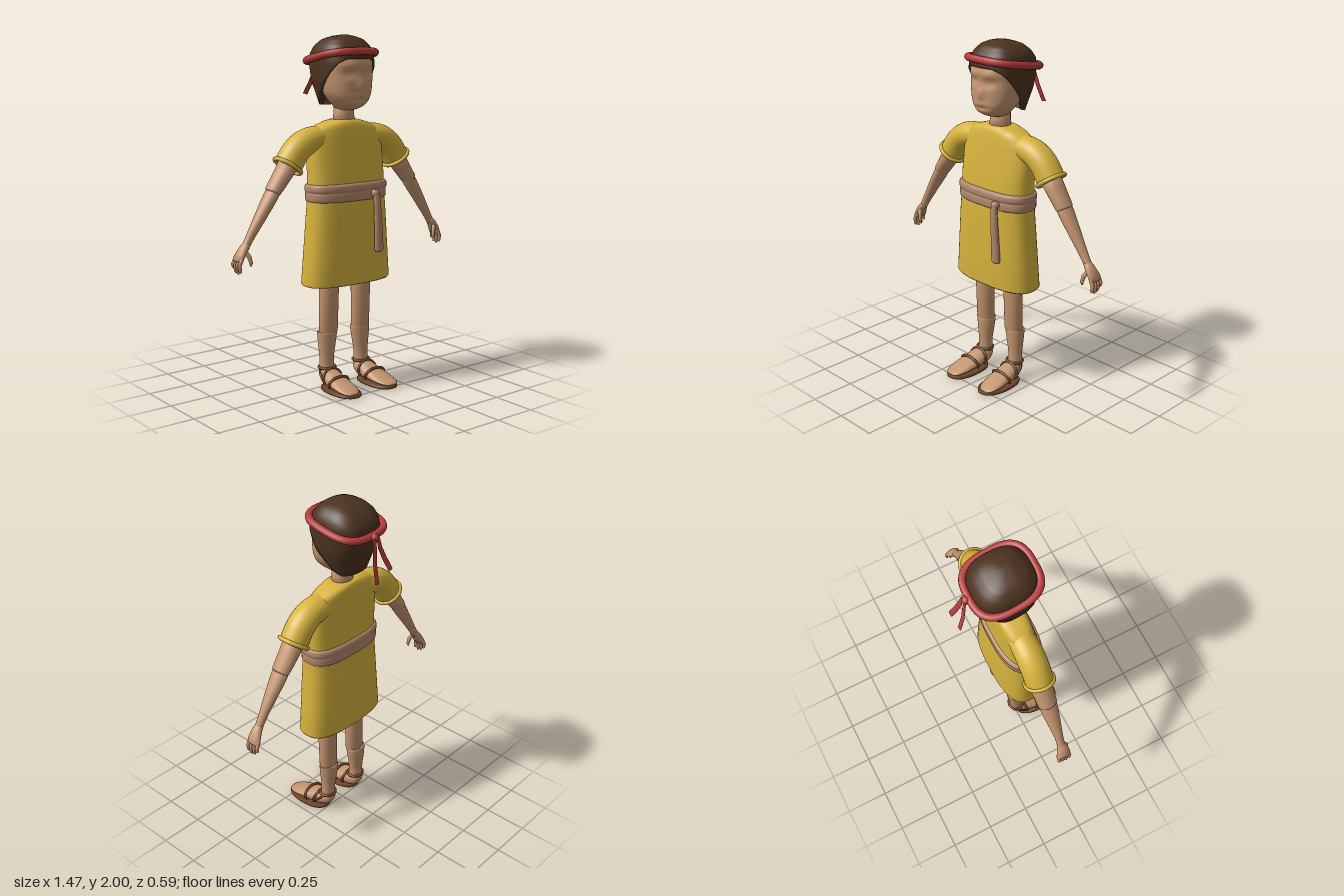
import * as THREE from 'three';

const mat = (name, color) => new THREE.MeshStandardMaterial({ name, color, side: THREE.DoubleSide });
const V = (x, y, z) => new THREE.Vector3(x, y, z);
const TAU = Math.PI * 2;

// Catmull-Rom refinement of a table of numeric rows
function refine(rows, n) {
  const out = [];
  const at = i => rows[Math.min(rows.length - 1, Math.max(0, i))];
  for (let i = 0; i < rows.length - 1; i++) {
    for (let k = 0; k < n; k++) {
      const t = k / n, a = at(i - 1), b = at(i), c = at(i + 1), d = at(i + 2);
      out.push(b.map((_, j) => 0.5 * (2 * b[j] + (c[j] - a[j]) * t
        + (2 * a[j] - 5 * b[j] + 4 * c[j] - d[j]) * t * t
        + (3 * b[j] - a[j] - 3 * c[j] + d[j]) * t * t * t)));
    }
  }
  out.push(rows[rows.length - 1]);
  return out;
}

// Linear lookup in a table sorted by descending first column
function sample(rows, y) {
  for (let i = 0; i < rows.length - 1; i++) {
    const a = rows[i], b = rows[i + 1];
    if (y >= b[0]) return a.map((v, j) => v + (b[j] - v) * (a[0] - y) / (a[0] - b[0]));
  }
  return rows[rows.length - 1];
}

// Horizontal superellipse ring
function ring(cx, y, rx, zf, zb, exp = 2, n = 40) {
  const p = v => Math.sign(v) * Math.pow(Math.abs(v), 2 / exp);
  return Array.from({ length: n }, (_, i) => {
    const a = i / n * TAU;
    return V(cx + rx * p(Math.cos(a)), y, (zf + zb) / 2 + (zf - zb) / 2 * p(Math.sin(a)));
  });
}

// Skin a list of rings, turned so that faces point outward
function loft(rings, capStart = true, capEnd = true) {
  const n = rings[0].length, pts = rings.flat(), idx = [];
  for (let r = 0; r < rings.length - 1; r++) {
    for (let i = 0; i < n; i++) {
      const a = r * n + i, b = r * n + (i + 1) % n, c = a + n, d = b + n;
      idx.push(a, c, b, b, c, d);
    }
  }
  const cap = (r, flip) => {
    const centre = rings[r].reduce((s, p) => s.add(p), V(0, 0, 0)).divideScalar(n);
    const k = pts.push(centre) - 1;
    for (let i = 0; i < n; i++) {
      const a = r * n + i, b = r * n + (i + 1) % n;
      idx.push(k, flip ? b : a, flip ? a : b);
    }
  };
  if (capStart) cap(0, false);
  if (capEnd) cap(rings.length - 1, true);
  let volume = 0;
  for (let i = 0; i < idx.length; i += 3) {
    volume += pts[idx[i]].dot(pts[idx[i + 1]].clone().cross(pts[idx[i + 2]]));
  }
  if (volume < 0) idx.reverse();
  const g = new THREE.BufferGeometry().setFromPoints(pts);
  g.setIndex(idx);
  g.computeVertexNormals();
  return g;
}

// Rows of [y, rx, zFront, zBack] stacked around x = cx
const stack = (rows, exp, cx = 0, bottom = true) =>
  loft(rows.map(r => ring(cx, r[0], r[1], r[2], r[3], exp)), bottom);

// Limb through rows of [x, y, z, radius in xy, radius in z], mirrored by s
function limb(rows, s = 1, n = 20) {
  return loft(rows.map((r, i) => {
    const a = rows[Math.max(0, i - 1)], b = rows[Math.min(rows.length - 1, i + 1)];
    const t = new THREE.Vector2(b[0] - a[0], b[1] - a[1]).normalize();
    return Array.from({ length: n }, (_, k) => {
      const q = k / n * TAU, c = Math.cos(q) * r[3];
      return V(s * (r[0] - t.y * c), r[1] + t.x * c, r[2] + Math.sin(q) * r[4]);
    });
  }));
}

const cord = (pts, r, closed = true) =>
  new THREE.TubeGeometry(new THREE.CatmullRomCurve3(pts, closed), 64, r, 10, closed);

export function createModel() {
  const model = new THREE.Group();
  const skin = mat('skin', 0xc4956f), cloth = mat('yellow cloth', 0xd6b23c);
  const sash = mat('sash tan', 0xb0876b), hairMat = mat('hair brown', 0x4c321f);
  const red = mat('red cloth', 0xb83c3c), leather = mat('leather', 0x6e4529);
  const add = (name, geometry, material) => {
    const m = new THREE.Mesh(geometry, material);
    m.name = name;
    model.add(m);
    return m;
  };

  // Head with a modelled face, and neck
  const headRows = refine([[1.588, 0.04, 0.07, -0.02], [1.6, 0.066, 0.105, -0.04], [1.62, 0.088, 0.137, -0.05],
    [1.65, 0.115, 0.15, -0.07], [1.7, 0.14, 0.152, -0.1], [1.8, 0.154, 0.154, -0.15],
    [1.88, 0.15, 0.146, -0.165], [1.94, 0.1, 0.09, -0.11]], 6);
  const bump = (p, x, y, wx, wy) => Math.exp(-(((Math.abs(p.x) - x) / wx) ** 2) - ((p.y - y) / wy) ** 2);
  const headRings = headRows.map(r => ring(0, r[0], r[1], r[2], r[3], 2.3, 64));
  headRings.flat().forEach(p => {
    if (p.z < 0.04) return;
    p.z += 0.018 * bump(p, 0, 1.725, 0.022, 0.035) - 0.014 * bump(p, 0.06, 1.79, 0.045, 0.022)
      + 0.007 * bump(p, 0.05, 1.835, 0.07, 0.02) + 0.006 * bump(p, 0, 1.672, 0.04, 0.012)
      - 0.006 * bump(p, 0, 1.648, 0.05, 0.01);
  });
  add('head', loft(headRings), skin);
  add('neck', stack([[1.5, 0.07, 0.06, -0.06], [1.56, 0.06, 0.057, -0.054], [1.64, 0.06, 0.057, -0.054]], 2), skin);

  // Hair cap with a hairline slanting down to the nape
  const hairRows = [[2, 0.02, 0.03, -0.03], [1.992, 0.07, 0.055, -0.07], [1.975, 0.11, 0.095, -0.115],
    [1.94, 0.145, 0.13, -0.16], [1.9, 0.16, 0.152, -0.188], [1.85, 0.165, 0.16, -0.195],
    [1.75, 0.163, 0.158, -0.172], [1.61, 0.125, 0.14, -0.125]];
  const hairline = [[0.15, 1.87], [0.12, 1.845], [0.03, 1.74], [-0.07, 1.645], [-0.12, 1.615], [-0.2, 1.61]];
  const outline = ring(0, 0, 0.16, 0.16, -0.17, 2.6, 64);
  const hairRings = [];
  for (let k = 0; k <= 22; k++) {
    const v = Math.min(1, k / 21);
    hairRings.push(outline.map((o, i) => {
      const y = 2 - (2 - sample(hairline, Math.min(0.15, o.z))[1]) * v ** 1.4;
      const r = sample(hairRows, y), p = ring(0, y, r[1], r[2], r[3], 2.6, 64)[i];
      if (k === 22) { p.x *= 0.8; p.z *= 0.8; }
      return p;
    }));
  }
  add('hair', loft(hairRings, true, false), hairMat);

  // Tilted headband with knot and two tails
  const bandRing = ring(0, 0, 0.168, 0.152, -0.205, 3, 48);
  bandRing.forEach(p => { p.y = 1.885 + 0.175 * p.z; });
  add('headband', cord(bandRing, 0.021), red);
  const knot = add('headbandKnot', new THREE.SphereGeometry(0.024, 16, 12), red);
  knot.position.set(0, 1.846, -0.222);
  for (const s of [1, -1]) {
    const drop = s > 0 ? 0 : 0.045;
    add('headbandTail', limb([[0.014, 1.85, -0.235, 0.012, 0.004], [0.02, 1.79, -0.246, 0.015, 0.004],
      [0.036, 1.71 + drop / 2, -0.262, 0.016, 0.004], [0.054, 1.62 + drop, -0.292, 0.016, 0.004]], s, 12), red);
  }

  // Tunic from hem to collar
  add('tunic', stack([[0.622, 0.268, 0.13, -0.09], [0.61, 0.278, 0.142, -0.1], [0.622, 0.286, 0.15, -0.11],
    [0.8, 0.272, 0.148, -0.104], [1.0, 0.257, 0.144, -0.095], [1.13, 0.247, 0.137, -0.088],
    [1.25, 0.248, 0.125, -0.086], [1.36, 0.248, 0.106, -0.086], [1.43, 0.242, 0.095, -0.085],
    [1.48, 0.222, 0.086, -0.084], [1.505, 0.185, 0.08, -0.082], [1.525, 0.115, 0.072, -0.08],
    [1.535, 0.075, 0.058, -0.065]], 2.7, 0, false), cloth);

  // Wrapped belt with a knot and hanging end
  add('belt', stack(refine([[1.085, 0.24, 0.13, -0.085], [1.092, 0.255, 0.146, -0.1], [1.125, 0.257, 0.147, -0.101],
    [1.138, 0.255, 0.144, -0.099], [1.15, 0.261, 0.15, -0.104], [1.178, 0.258, 0.147, -0.1],
    [1.187, 0.24, 0.13, -0.085]], 3), 2.7), sash);
  const beltKnot = add('beltKnot', new THREE.SphereGeometry(0.025, 16, 12), sash);
  beltKnot.position.set(0.11, 1.12, 0.15);
  add('beltTail', limb([[0.11, 1.14, 0.155, 0.014, 0.012], [0.112, 1.1, 0.162, 0.02, 0.017],
    [0.119, 0.98, 0.165, 0.024, 0.019], [0.128, 0.8, 0.164, 0.029, 0.02], [0.129, 0.785, 0.162, 0.022, 0.014]]), sash);

  for (const s of [1, -1]) {
    // Sleeve and rolled cuff
    add('sleeve', limb(refine([[0.13, 1.43, 0, 0.07, 0.07], [0.2, 1.432, 0, 0.073, 0.076], [0.27, 1.416, 0, 0.074, 0.079],
      [0.333, 1.37, 0, 0.077, 0.079], [0.384, 1.297, 0, 0.08, 0.079]], 4), s, 28), cloth);
    add('cuff', cord(Array.from({ length: 24 }, (_, i) => {
      const a = i / 24 * TAU, c = Math.cos(a) * 0.08;
      return V(s * (0.384 + 0.82 * c), 1.295 + 0.57 * c, Math.sin(a) * 0.08);
    }), 0.012), cloth);

    // Arm
    add('upperArm', limb([[0.37, 1.32, 0, 0.055, 0.063], [0.42, 1.25, 0, 0.048, 0.06],
      [0.486, 1.165, 0.002, 0.04, 0.054], [0.49, 1.158, 0.002, 0.034, 0.048]], s), skin);
    add('forearm', limb(refine([[0.47, 1.185, 0.002, 0.034, 0.046], [0.5, 1.14, 0.002, 0.036, 0.05],
      [0.57, 1.035, 0.004, 0.031, 0.037], [0.635, 0.935, 0.004, 0.024, 0.024], [0.668, 0.88, 0.004, 0.021, 0.024]], 3), s), skin);

    // Hand with four fingers and a thumb
    add('palm', limb(refine([[0.655, 0.9, 0.004, 0.02, 0.023], [0.68, 0.87, 0.004, 0.023, 0.033],
      [0.704, 0.832, 0, 0.021, 0.042], [0.713, 0.808, -0.002, 0.014, 0.038]], 3), s), skin);
    for (let f = 0; f < 4; f++) {
      const z = 0.03 - f * 0.021, tip = [0.752, 0.742, 0.748, 0.768][f];
      add('finger', limb([[0.704, 0.83, z, 0.012, 0.011], [0.722, 0.79, z * 1.05, 0.011, 0.01],
        [0.719, tip + 0.012, z * 1.05, 0.01, 0.009], [0.715, tip, z * 1.05, 0.005, 0.005]], s, 10), skin);
    }
    add('thumb', limb([[0.683, 0.865, 0.022, 0.014, 0.013], [0.665, 0.835, 0.038, 0.012, 0.012],
      [0.657, 0.8, 0.043, 0.01, 0.01], [0.659, 0.784, 0.043, 0.005, 0.005]], s, 10), skin);

    // Leg
    add('thigh', limb([[0.115, 0.95, 0.012, 0.062, 0.055], [0.115, 0.6, 0.013, 0.06, 0.052],
      [0.116, 0.325, 0.008, 0.057, 0.046]], s, 28), skin);
    add('shin', limb(refine([[0.12, 0.328, 0, 0.055, 0.045], [0.12, 0.318, 0, 0.061, 0.05], [0.122, 0.26, 0, 0.054, 0.047],
      [0.125, 0.17, 0.002, 0.043, 0.039], [0.125, 0.1, 0.004, 0.044, 0.038], [0.125, 0.06, 0.006, 0.04, 0.032]], 3), s, 28), skin);

    // Foot from cross-sections of [z, half width, bottom, top]
    const footRows = refine([[-0.033, 0.022, 0.068, 0.1], [-0.018, 0.04, 0.04, 0.12], [0.02, 0.053, 0.018, 0.125],
      [0.06, 0.06, 0.014, 0.112], [0.13, 0.065, 0.014, 0.085], [0.2, 0.064, 0.014, 0.06],
      [0.255, 0.05, 0.014, 0.04], [0.278, 0.025, 0.014, 0.03]], 3);
    const footX = z => s * (0.125 + 0.06 * Math.max(0, z));
    const arch = (z, w, lo, hi, t) => V(footX(z) + w * Math.cos(t), (lo + hi) / 2 + (hi - lo) / 2 * Math.sin(t), z);
    add('foot', loft(footRows.map(([z, w, lo, hi]) =>
      Array.from({ length: 24 }, (_, i) => arch(z, w, lo, hi, i / 24 * TAU)))), skin);

    // Sandal sole and straps
    add('sole', stack([[0, 0.07, 0.28, 0.01], [0.004, 0.082, 0.29, 0.002], [0.017, 0.082, 0.29, 0.002],
      [0.021, 0.074, 0.282, 0.008]], 2.3, s * 0.132), leather);
    add('ankleStrap', cord(ring(s * 0.125, 0.115, 0.049, 0.05, -0.038, 2, 24), 0.008), leather);
    for (const [z, w, hi, lean] of [[0.06, 0.064, 0.114, -0.01], [0.125, 0.068, 0.09, 0.012]]) {
      add('footStrap', cord(Array.from({ length: 13 }, (_, i) => {
        const t = -0.5 + i / 12 * (Math.PI + 1), p = arch(z, w, 0.012, hi, t);
        p.z += lean * Math.sin(t);
        return p;
      }), 0.008, false), leather);
    }
    add('sideStrap', cord([V(footX(0.05) + s * 0.064, 0.06, 0.05), V(s * 0.184, 0.085, 0.02),
      V(s * 0.172, 0.11, 0)], 0.006, false), leather);
  }
  return model;
}
